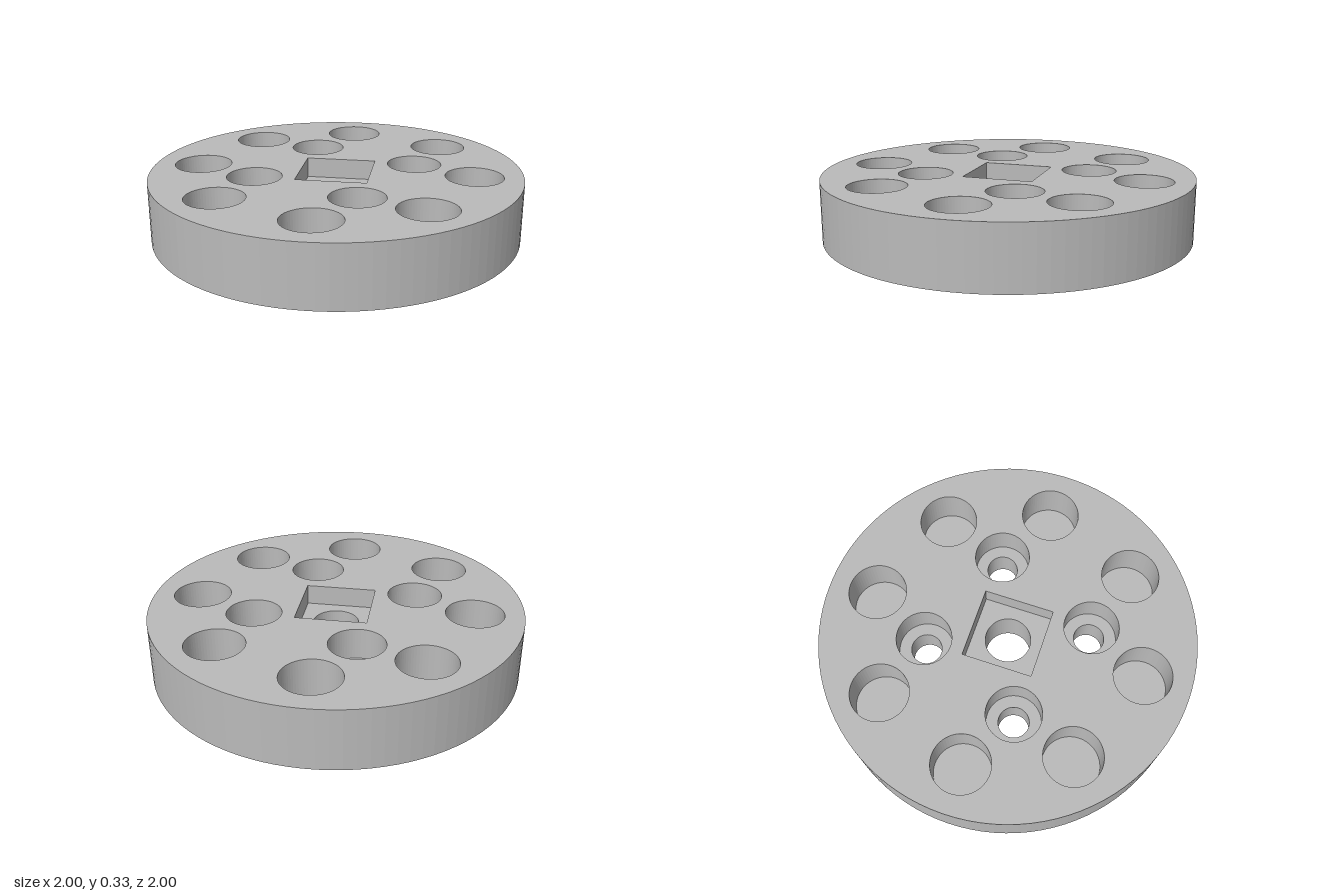
import * as THREE from 'three';

const H = 0.33;          // disc thickness
const SQUARE = 0.19;     // half side of the square recess
const SQUARE_FLOOR = 0.22;
const BORE = 0.123;      // central through hole

// Points of a circle on the x/z plane
function circle(r, cx = 0, cz = 0, n = 64) {
  return Array.from({ length: n }, (_, i) => {
    const a = (i / n) * Math.PI * 2;
    return new THREE.Vector2(cx + r * Math.cos(a), cz + r * Math.sin(a));
  });
}

// Flat horizontal face with holes; dir = 1 faces up, -1 faces down
function face(outline, holes, y, dir) {
  const flip = (pts) => pts.map((p) => new THREE.Vector2(p.x, -dir * p.y));
  const shape = new THREE.Shape(flip(outline));
  shape.holes = holes.map((h) => new THREE.Path(flip(h)));
  return new THREE.ShapeGeometry(shape).rotateX(-dir * Math.PI / 2).translate(0, y, 0);
}

// One band of revolution; running downwards faces the axis, running inwards faces up
function band(r0, y0, r1, y1, n = 64) {
  return new THREE.LatheGeometry([new THREE.Vector2(r0, y0), new THREE.Vector2(r1, y1)], n);
}

export function createModel() {
  const grey = new THREE.MeshStandardMaterial({ color: 0xbababa, flatShading: true });
  grey.name = 'grey';
  const model = new THREE.Group();
  model.name = 'drilledDisc';
  const add = (name, geometry, x = 0, z = 0) => {
    const mesh = new THREE.Mesh(geometry, grey);
    mesh.name = name;
    mesh.position.set(x, 0, z);
    model.add(mesh);
  };

  // Hole layout: eight blind pockets on the rim, four counterbored screw holes
  const pocket = { r: 0.155, floor: 0.11 };
  const screw = { head: 0.147, shaft: 0.083, floor: 0.16 };
  const pockets = Array.from({ length: 8 }, (_, i) => {
    const a = (i * Math.PI) / 4;
    return [0.74 * Math.cos(a), 0.74 * Math.sin(a)];
  });
  const screws = [[0.41, -0.17], [-0.17, -0.41], [-0.41, 0.17], [0.17, 0.41]];
  const square = [[-1, -1], [1, -1], [1, 1], [-1, 1]]
    .map(([x, z]) => new THREE.Vector2(x * SQUARE, z * SQUARE));

  // Disc body
  const rim = circle(1, 0, 0, 100);
  add('topFace', face(rim, [
    square,
    ...pockets.map(([x, z]) => circle(pocket.r, x, z)),
    ...screws.map(([x, z]) => circle(screw.head, x, z)),
  ], H, 1));
  add('bottomFace', face(rim, [
    circle(BORE),
    ...screws.map(([x, z]) => circle(screw.shaft, x, z)),
  ], 0, -1));
  add('outerWall', band(1, 0, 1, H, 100));

  // Blind pockets
  for (const [x, z] of pockets) {
    add('pocketWall', band(pocket.r, H, pocket.r, pocket.floor), x, z);
    add('pocketFloor', band(pocket.r, pocket.floor, 0, pocket.floor), x, z);
  }

  // Counterbored screw holes
  for (const [x, z] of screws) {
    add('counterboreWall', band(screw.head, H, screw.head, screw.floor), x, z);
    add('counterboreStep', band(screw.head, screw.floor, screw.shaft, screw.floor), x, z);
    add('screwHoleWall', band(screw.shaft, screw.floor, screw.shaft, 0), x, z);
  }

  // Square recess over the central bore
  const depth = H - SQUARE_FLOOR;
  for (let i = 0; i < 4; i++) {
    add('squareWall', new THREE.PlaneGeometry(SQUARE * 2, depth)
      .translate(0, SQUARE_FLOOR + depth / 2, -SQUARE)
      .rotateY((i * Math.PI) / 2));
  }
  add('squareFloor', face(square, [circle(BORE)], SQUARE_FLOOR, 1));
  add('boreWall', band(BORE, SQUARE_FLOOR, BORE, 0));

  return model;
}
